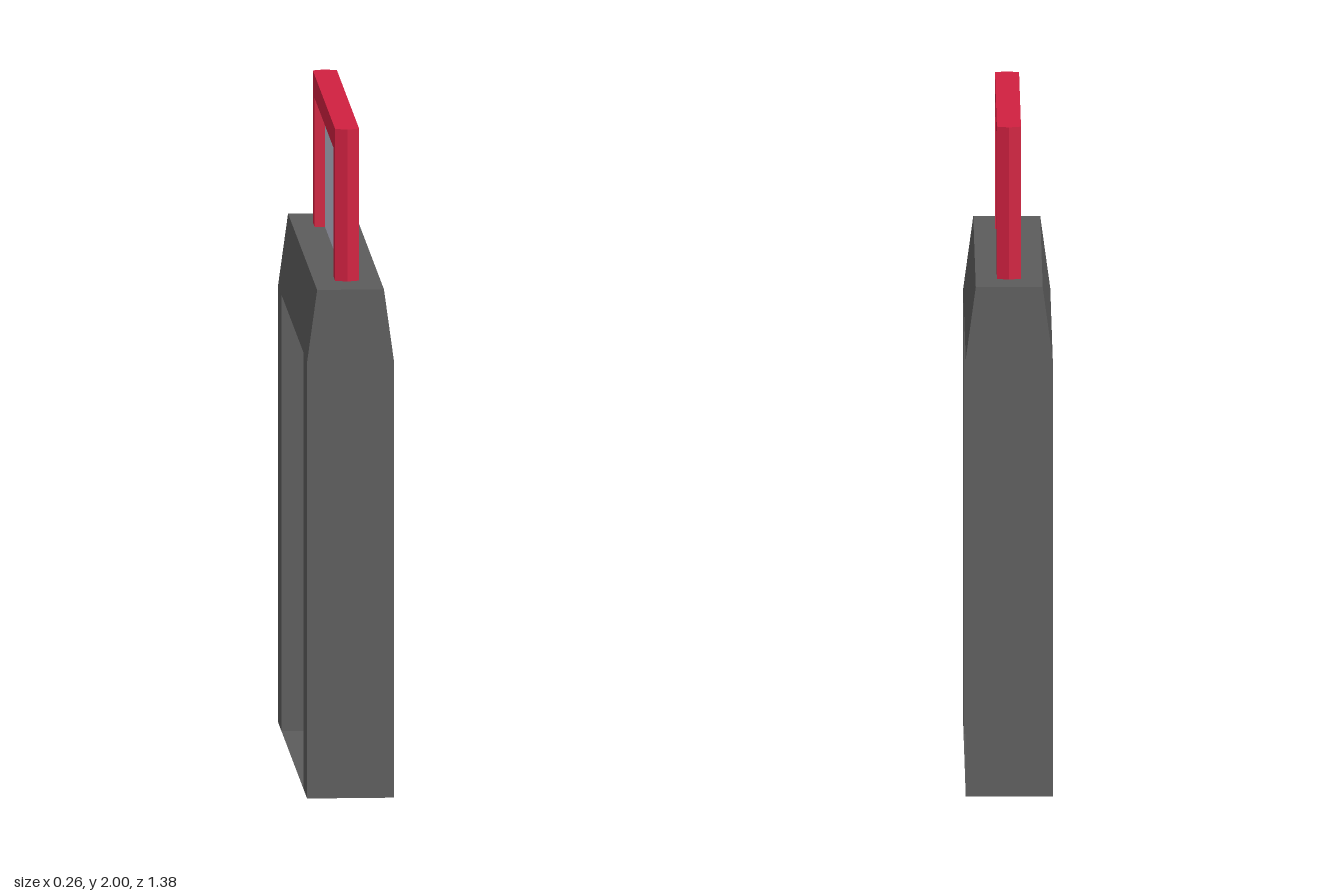
import * as THREE from 'three';

const material = (color) =>
  new THREE.MeshStandardMaterial({ color, flatShading: true, side: THREE.DoubleSide });

const dark = material(0x5c5c5c);
const red = material(0xd02040);
const pale = material(0xcccccc);
const glassGrey = material(0xbec0d2);

// Builds four-cornered panels given for the +x +z quarter, mirrored to all quarters.
function quarterMesh(name, mat, quads) {
  const points = [];
  for (const sx of [1, -1]) {
    for (const sz of [1, -1]) {
      for (const quad of quads) {
        const c = quad.map(([x, y, z]) => [x * sx, y, z * sz]);
        if (sx * sz < 0) c.reverse();
        for (const i of [0, 1, 2, 0, 2, 3]) points.push(...c[i]);
      }
    }
  }
  const geometry = new THREE.BufferGeometry();
  geometry.setAttribute('position', new THREE.Float32BufferAttribute(points, 3));
  geometry.computeVertexNormals();
  const mesh = new THREE.Mesh(geometry, mat);
  mesh.name = name;
  return mesh;
}

export function createModel() {
  const group = new THREE.Group();
  group.name = 'slidingPanelFrame';

  const W = 0.13, T = 0.1;            // half depth of frame, at the legs and at the top
  const E = 0.692, L = 0.53;          // outer and inner faces of the legs
  const H = 1.54, K = 1.322, U = 1.28; // top, taper start, underside of header
  const P = 0.036, D = 0.555, F = 0.05; // groove half width, back and floor

  // Hollow legs, open underneath
  group.add(quarterMesh('legs', dark, [
    [[W, 0, E], [W, 0, L], [W, K, L], [W, K, E]],
    [[0, 0, E], [W, 0, E], [W, K, E], [0, K, E]],
    [[W, 0, L], [P, 0, L], [P, U, L], [W, K, L]],
    [[P, 0, L], [0, 0, L], [0, F, L], [P, F, L]],
  ]));

  // Tapered header with a V-shaped underside
  group.add(quarterMesh('header', dark, [
    [[W, K, E], [W, K, 0], [T, H, 0], [T, H, E]],
    [[0, K, E], [W, K, E], [T, H, E], [0, H, E]],
    [[0, H, E], [T, H, E], [T, H, 0], [0, H, 0]],
    [[P, U, 0], [W, K, 0], [W, K, L], [P, U, L]],
  ]));

  // Thin threshold between the legs
  group.add(quarterMesh('threshold', dark, [
    [[0, 0, 0], [W, 0, 0], [W, 0, L], [0, 0, L]],
  ]));

  // Guide grooves in the inner faces of the legs
  group.add(quarterMesh('grooveSides', dark, [
    [[P, F, L], [P, F, D], [P, H, D], [P, H, L]],
    [[0, F, D], [P, F, D], [P, F, L], [0, F, L]],
  ]));
  group.add(quarterMesh('grooveBacks', pale, [
    [[P, F, D], [0, F, D], [0, H, D], [P, H, D]],
  ]));

  // Sliding sash with pointed sides and bottom edge
  const tip = 0.545, low = 0.635, y0 = 0.67, y1 = 2;
  const G = 0.442, b = 0.74, t = 1.93, g = 0.005; // pane opening and pane half thickness
  group.add(quarterMesh('sash', red, [
    [[P, y0, L], [P, y0, G], [P, y1, G], [P, y1, L]],
    [[P, y0, G], [P, y0, 0], [P, b, 0], [P, b, G]],
    [[P, t, G], [P, t, 0], [P, y1, 0], [P, y1, G]],
    [[0, low, tip], [P, y0, L], [P, y1, L], [0, y1, tip]],
    [[0, low, 0], [P, y0, 0], [P, y0, L], [0, low, tip]],
    [[0, y1, tip], [P, y1, L], [P, y1, 0], [0, y1, 0]],
    [[P, b, G], [g, b, G], [g, t, G], [P, t, G]],
    [[g, b, G], [P, b, G], [P, b, 0], [g, b, 0]],
    [[g, t, 0], [P, t, 0], [P, t, G], [g, t, G]],
  ]));

  // Pane
  const pane = new THREE.Mesh(new THREE.BoxGeometry(2 * g, t - b, 2 * G), glassGrey);
  pane.name = 'pane';
  pane.position.y = (t + b) / 2;
  group.add(pane);

  return group;
}
